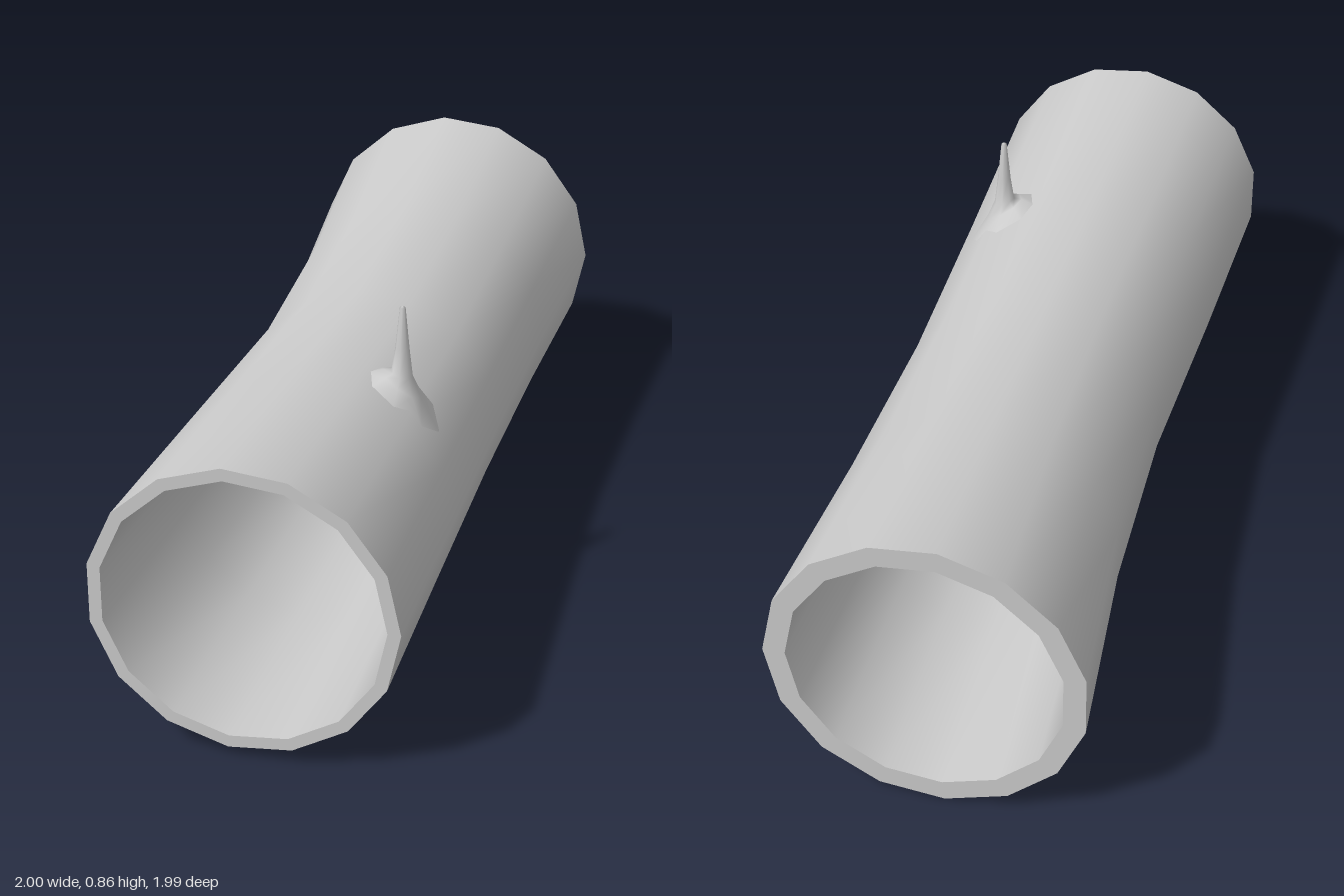
import * as THREE from 'three';

const SIDES = 15;
// Stations along the log: distance, side extents, bottom, top, bore scale
const STATIONS = [
  [-1.055, -0.36, 0.352, 0.025, 0.735, 0.915],
  [-0.53, -0.34, 0.345, 0.025, 0.705, 0.91],
  [0, -0.315, 0.341, 0.03, 0.68, 0.91],
  [0.51, -0.33, 0.352, 0.025, 0.705, 0.89],
  [1.036, -0.378, 0.373, 0, 0.757, 0.86],
];

// Log space (along, across, up) to model space: the log lies diagonally
const place = (s, q, y) => new THREE.Vector3((s + q) * Math.SQRT1_2, y, (q - s) * Math.SQRT1_2);

// Skin between closed rings that all have the same number of points
function loft(rings, name, material) {
  const n = rings[0].length;
  const index = [];
  for (let i = 0; i < rings.length - 1; i++) {
    for (let j = 0; j < n; j++) {
      const k = (j + 1) % n;
      const a = i * n + j, b = a + n, c = i * n + k, d = c + n;
      index.push(a, b, c, b, d, c);
    }
  }
  const geometry = new THREE.BufferGeometry().setFromPoints(rings.flat());
  geometry.setIndex(index);
  geometry.computeVertexNormals();
  const mesh = new THREE.Mesh(geometry, material);
  mesh.name = name;
  return mesh;
}

// Centre and radii of one station
function section([, q0, q1, y0, y1]) {
  const rq = (q1 - q0) / 1.978;
  return { qc: q1 - rq, rq, yc: (y0 + y1) / 2, ry: (y1 - y0) / 1.989 };
}

function ring(station, scale) {
  const { qc, rq, yc, ry } = section(station);
  return Array.from({ length: SIDES }, (_, j) => {
    const t = (j / SIDES) * Math.PI * 2;
    return place(station[0], qc + rq * scale * Math.cos(t), yc + ry * scale * Math.sin(t));
  });
}

// Height of the bark above a point of log space
function barkHeight(s, q) {
  let i = 0;
  while (i < STATIONS.length - 2 && s > STATIONS[i + 1][0]) i++;
  const a = STATIONS[i], b = STATIONS[i + 1];
  const f = (s - a[0]) / (b[0] - a[0]);
  const { qc, rq, yc, ry } = section(a.map((v, k) => THREE.MathUtils.lerp(v, b[k], f)));
  return yc + ry * Math.sqrt(Math.max(0, 1 - ((q - qc) / rq) ** 2));
}

export function createModel() {
  const group = new THREE.Group();
  group.name = 'hollowLog';
  const material = new THREE.MeshStandardMaterial({ color: 0xcccccc });

  // Hollow trunk: bark, bore and two flat cut ends
  const outer = STATIONS.map((st) => ring(st, 1));
  const inner = STATIONS.map((st) => ring(st, st[5]));
  const last = STATIONS.length - 1;
  group.add(
    loft(outer, 'bark', material),
    loft([...inner].reverse(), 'bore', material),
    loft([inner[0], outer[0]], 'frontCutEnd', material),
    loft([outer[last], inner[last]], 'backCutEnd', material),
  );

  // Broken twig: a flared root on the bark rising to a thin blunt point
  const s0 = -0.42, q0 = 0.194;
  const twigRing = (radius, height) => Array.from({ length: 8 }, (_, j) => {
    const t = (j / 8) * Math.PI * 2;
    const s = s0 + radius * Math.cos(t), q = q0 + radius * Math.sin(t);
    return place(s, q, height(s, q));
  });
  group.add(loft([
    twigRing(0.09, (s, q) => barkHeight(s, q) - 0.012),
    twigRing(0.045, (s, q) => barkHeight(s, q) + 0.02),
    twigRing(0.026, (s, q) => 0.4 * barkHeight(s, q) + 0.6 * 0.71),
    twigRing(0.017, () => 0.75),
    twigRing(0.007, () => 0.852),
    twigRing(0, () => 0.856),
  ], 'twig', material));

  return group;
}
